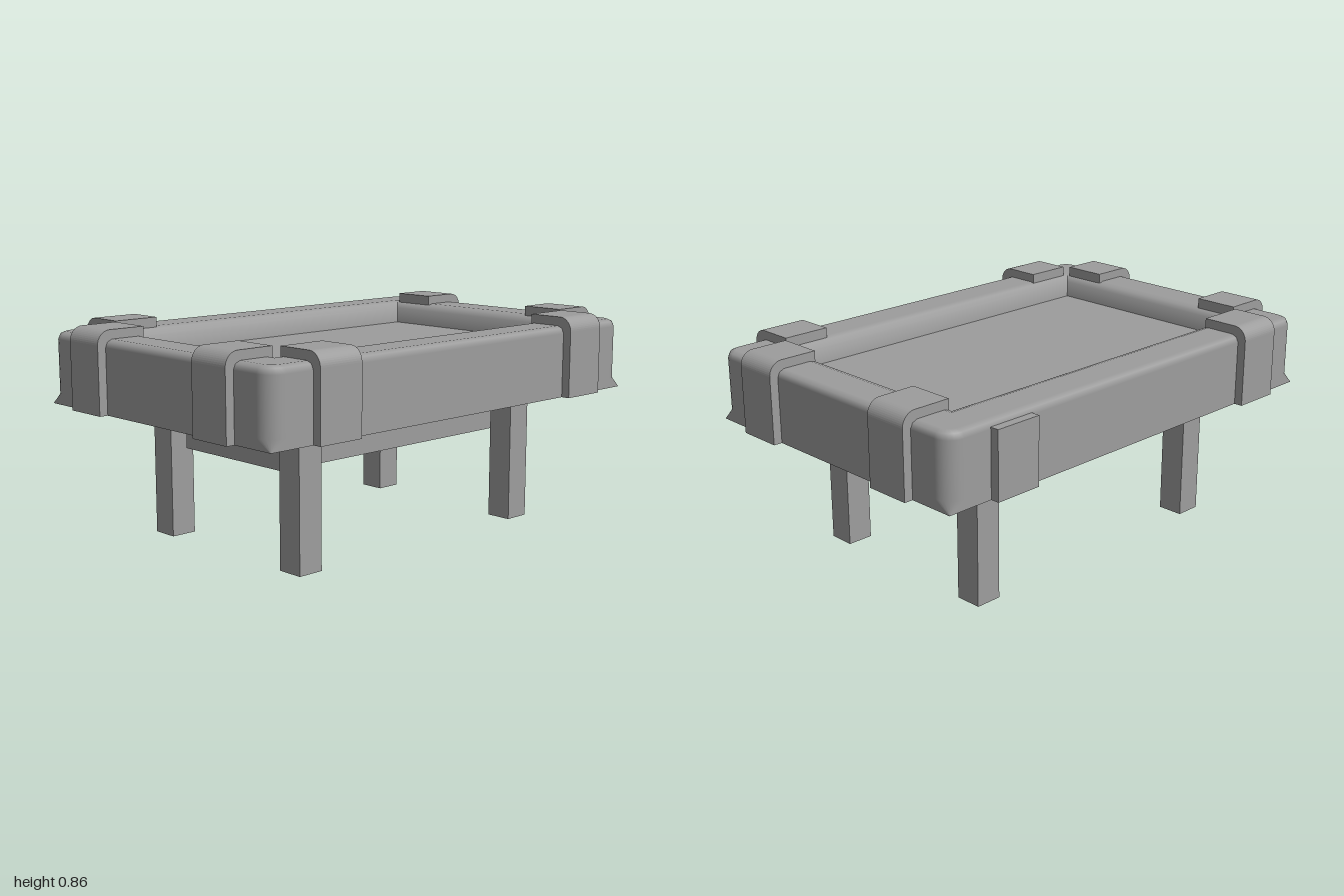
import * as THREE from 'three';

const W = 0.965, D = 0.65;            // half extents of the tray
const BASE = 0.54, RIM = 0.826, FLOOR = 0.73, UNDER = 0.71;

const grey = () => new THREE.MeshStandardMaterial({ color: 0x9d9d9d });

function add(parent, name, geometry, x = 0, y = 0, z = 0, material = grey()) {
  const mesh = new THREE.Mesh(geometry, material);
  mesh.name = name;
  mesh.position.set(x, y, z);
  parent.add(mesh);
  return mesh;
}

// Rim: a profile swept round a rectangle; outer corners round off above a square foot.
function rimGeometry() {
  // inset, height, outward normal, upward normal, corner radius
  const profile = [
    [0.188, BASE, 0, -1, 0], [0, BASE, 0, -1, 0],
    [0, BASE, 1, 0, 0], [0, 0.58, 1, 0, 0.07], [0, 0.796, 1, 0, 0.07],
    [0.009, 0.817, 0.7, 0.7, 0.061], [0.03, RIM, 0, 1, 0.04],
    [0.15, RIM, 0, 1, 0], [0.176, 0.818, -0.5, 0.85, 0], [0.185, 0.795, -0.9, 0.4, 0],
    [0.188, FLOOR, -1, 0.1, 0], [0.188, BASE, -1, 0, 0],
  ];
  const steps = 6;
  const path = [];
  [[1, 1], [1, -1], [-1, -1], [-1, 1]].forEach(([sx, sz], k) => {
    for (let i = 0; i <= steps; i++) {
      const a = Math.PI / 2 * (1 - k - i / steps);
      path.push([sx, sz, Math.cos(a), Math.sin(a)]);
    }
  });
  const position = [], normal = [], index = [];
  const n = profile.length, m = path.length;
  path.forEach(([sx, sz, ox, oz], i) => {
    profile.forEach(([d, y, no, ny, r], j) => {
      position.push(sx * (W - d - r) + ox * r, y, sz * (D - d - r) + oz * r);
      normal.push(ox * no, ny, oz * no);
      if (j === n - 1) return;
      const a = i * n + j, c = ((i + 1) % m) * n + j;
      index.push(a, c, a + 1, c, c + 1, a + 1);
    });
  });
  const g = new THREE.BufferGeometry();
  g.setAttribute('position', new THREE.Float32BufferAttribute(position, 3));
  g.setAttribute('normal', new THREE.Float32BufferAttribute(normal, 3));
  g.setIndex(index);
  g.normalizeNormals();
  return g;
}

// Strap: an L-shaped band folded over the rim, outer face at local x = 0.
function strapGeometry(width, reach) {
  const t = 0.036, top = RIM + t, R = 0.055;
  const s = new THREE.Shape();
  s.moveTo(-t, BASE);
  s.lineTo(0, BASE);
  s.lineTo(0, top - R);
  s.absarc(-R, top - R, R, 0, Math.PI / 2, false);
  s.lineTo(-reach, top);
  s.lineTo(-reach, RIM - 0.005);
  s.lineTo(-t - 0.02, RIM - 0.005);
  s.lineTo(-t, RIM - 0.025);
  s.closePath();
  const g = new THREE.ExtrudeGeometry(s, { depth: width, bevelEnabled: false, curveSegments: 6 });
  return g.translate(0, 0, -width / 2);
}

export function createModel() {
  const model = new THREE.Group();
  model.name = 'table';

  // Tray
  add(model, 'rim', rimGeometry());
  add(model, 'tableSurface', new THREE.BoxGeometry(1.556, FLOOR - UNDER, 0.926), 0, (FLOOR + UNDER) / 2, 0);

  // Box hanging under the tray
  const boxH = UNDER - 0.362;
  add(model, 'underBox', new THREE.BoxGeometry(1.2, boxH, 0.565), 0, 0.362 + boxH / 2, 0.002);

  // Straps round the rim
  const endStrap = strapGeometry(0.183, 0.208);
  const sideStrap = strapGeometry(0.195, 0.199);
  for (const sx of [1, -1]) {
    for (const sz of [1, -1]) {
      const end = add(model, 'endStrap', endStrap, sx, 0, sz * 0.372);
      end.rotation.y = sx > 0 ? 0 : Math.PI;
      // one back strap has only its upright plate
      if (sx > 0 && sz < 0) {
        const h = 0.264;
        add(model, 'strapPlate', new THREE.BoxGeometry(0.195, h, 0.036), 0.677, BASE + h / 2, -0.667);
      } else {
        const side = add(model, 'sideStrap', sideStrap, sx * 0.677, 0, sz * 0.685);
        side.rotation.y = -sz * Math.PI / 2;
      }
    }
  }

  // Hollow square legs, open at the foot
  const legRadius = 0.108 * Math.SQRT1_2;
  const legGeometry = new THREE.CylinderGeometry(legRadius, legRadius, UNDER, 4, 1, true)
    .rotateY(Math.PI / 4).toNonIndexed();
  legGeometry.computeVertexNormals();
  const legMaterial = grey();
  legMaterial.side = THREE.DoubleSide;
  for (const sx of [1, -1]) {
    for (const sz of [1, -1]) {
      add(model, 'leg', legGeometry, sx * 0.586, UNDER / 2, sz * 0.377 - 0.004, legMaterial);
    }
  }
  return model;
}
